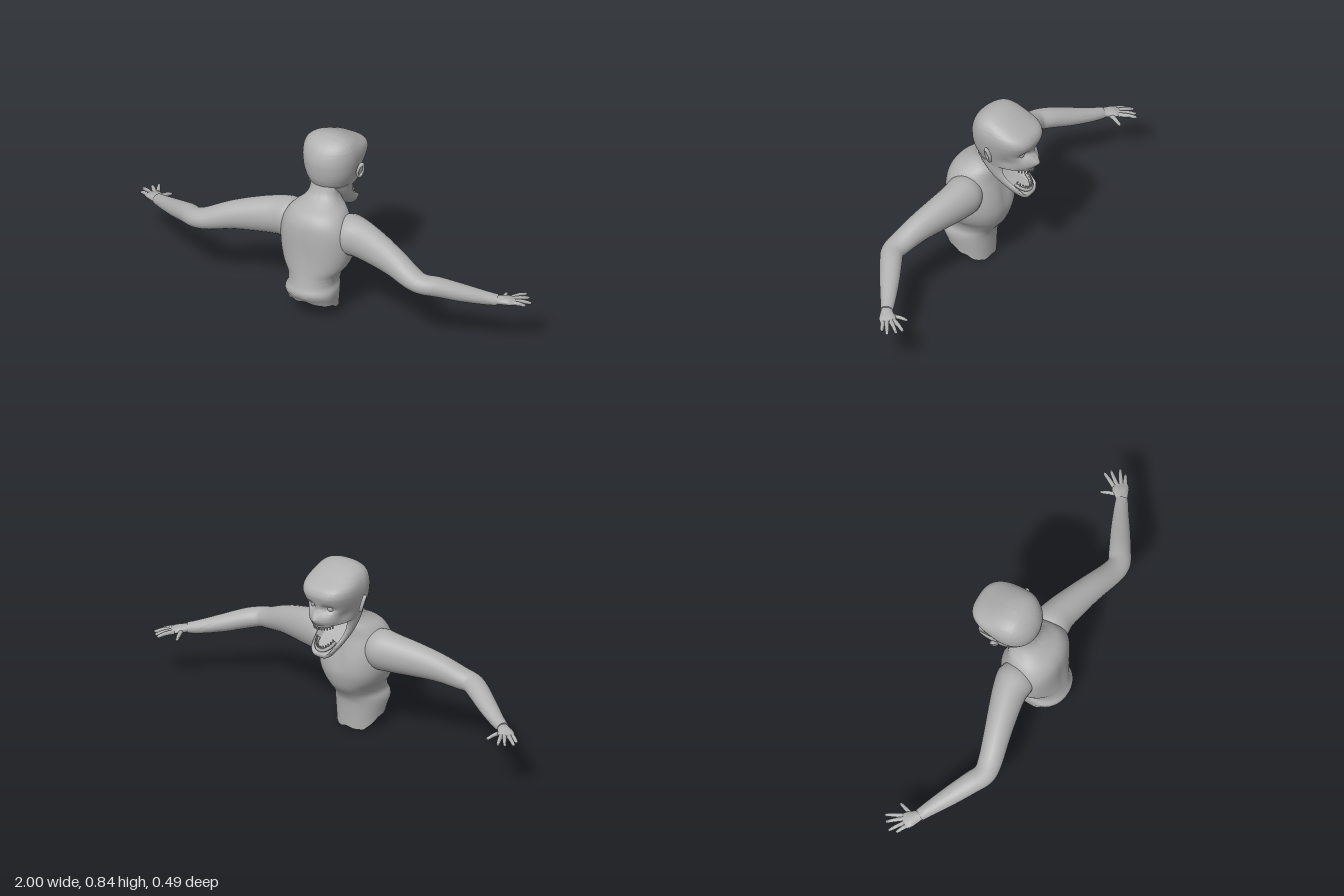
import * as THREE from 'three';
import { toCreasedNormals } from 'three/addons/utils/BufferGeometryUtils.js';

const skin = new THREE.MeshStandardMaterial({ color: 0xb0b0b0 });
skin.name = 'grey skin';

// Catmull-Rom refinement of rows of numbers
function refine(rows, k) {
  const out = [];
  const at = (i) => rows[Math.min(rows.length - 1, Math.max(0, i))];
  for (let i = 0; i < rows.length - 1; i++) {
    for (let s = 0; s < k; s++) {
      const t = s / k;
      out.push(rows[i].map((b, c) => {
        const a = at(i - 1)[c], d = at(i + 1)[c], e = at(i + 2)[c];
        return b + 0.5 * t * (d - a + t * (2 * a - 5 * b + 4 * d - e + t * (3 * (b - d) + e - a)));
      }));
    }
  }
  out.push(rows[rows.length - 1]);
  return out;
}

// Skin a list of rings (arrays of Vector3) and close both ends
function loft(rings, name, crease = 1.0) {
  const n = rings[0].length, pos = [], idx = [];
  for (const r of rings) for (const p of r) pos.push(p.x, p.y, p.z);
  for (let i = 0; i < rings.length - 1; i++) {
    for (let j = 0; j < n; j++) {
      const a = i * n + j, b = i * n + (j + 1) % n;
      idx.push(a, b, a + n, b, b + n, a + n);
    }
  }
  [0, rings.length - 1].forEach((i, end) => {
    const c = rings[i].reduce((s, p) => s.add(p), new THREE.Vector3()).divideScalar(n);
    const m = pos.length / 3;
    pos.push(c.x, c.y, c.z);
    for (let j = 0; j < n; j++) {
      const a = i * n + j, b = i * n + (j + 1) % n;
      if (end) idx.push(m, a, b); else idx.push(m, b, a);
    }
  });
  const g = new THREE.BufferGeometry();
  g.setAttribute('position', new THREE.Float32BufferAttribute(pos, 3));
  g.setIndex(idx);
  const mesh = new THREE.Mesh(toCreasedNormals(g, crease), skin);
  mesh.name = name;
  return mesh;
}

// Limb through stations [x, y, z, horizontal radius, vertical radius]
function limb(stations, name, sides = 24, k = 4) {
  const rows = refine(stations, k);
  const pts = rows.map((r) => new THREE.Vector3(r[0], r[1], r[2]));
  const up = new THREE.Vector3(0, 1, 0);
  return loft(rows.map((r, i) => {
    const t = pts[Math.min(i + 1, pts.length - 1)].clone().sub(pts[Math.max(i - 1, 0)]).normalize();
    const u = up.clone().cross(t).normalize(), v = t.clone().cross(u);
    return Array.from({ length: sides }, (_, j) => {
      const a = (j / sides) * Math.PI * 2;
      return pts[i].clone().addScaledVector(u, r[3] * Math.cos(a)).addScaledVector(v, r[4] * Math.sin(a));
    });
  }), name);
}

// Horizontal ring: back z, front z, half width and front roundness
const spow = (v, e) => Math.sign(v) * Math.abs(v) ** e;
function ring(y, zb, zf, w, e, n, shape) {
  const zc = zb + (zf - zb) * 0.42;
  return Array.from({ length: n }, (_, j) => {
    const a = (j / n) * Math.PI * 2, c = Math.cos(a), s = Math.sin(a);
    const ex = c < 0 ? e : 0.95;
    const z = zc + spow(Math.abs(c), ex) * (c < 0 ? zf - zc : zb - zc);
    const p = new THREE.Vector3(Math.max(w, 0.002) * spow(s, ex), y, z);
    if (shape) shape(p, c < 0);
    return p;
  });
}
const bell = (v, r) => Math.exp(-((v / r) ** 2));

function makeTorso() {
  const rows = refine([
    [0.05, 0.22, 0.012, 0.108], [0.13, 0.245, 0.006, 0.118], [0.17, 0.235, -0.012, 0.108],
    [0.21, 0.226, -0.042, 0.118], [0.25, 0.22, -0.058, 0.145], [0.3, 0.215, -0.068, 0.163],
    [0.36, 0.212, -0.064, 0.17], [0.42, 0.209, -0.05, 0.166], [0.47, 0.2, -0.038, 0.15],
    [0.51, 0.175, -0.036, 0.125], [0.54, 0.13, -0.036, 0.09], [0.57, 0.09, -0.035, 0.07],
    [0.61, 0.07, -0.03, 0.064], [0.66, 0.055, -0.03, 0.06],
  ], 4);
  return loft(rows.map(([y, zb, zf, w], i) => ring(y, zb, zf, w, 0.85, 56, (p, front) => {
    // ragged slanted hem, fading out up to the hips
    if (i < 5) {
      const f = Math.max(0, Math.min(1, (p.z - 0.035) / 0.19)) ** 0.75;
      const hem = 0.004 + 0.09 * f + 0.004 * Math.sin(p.x * 70 + p.z * 90);
      p.y = hem + (0.13 - hem) * i / 4;
    }
    // breastbone and spine grooves
    if (front) p.z += 0.01 * bell(p.x, 0.025) * bell(y - 0.37, 0.07);
    else p.z -= 0.005 * bell(p.x, 0.018) * bell(y - 0.33, 0.12);
    p.y = Math.max(p.y, 0);
  })), 'torso');
}

function makeHead() {
  const head = new THREE.Group();
  head.name = 'head';
  // skull and upper face
  const skull = refine([
    [0.585, 0.045, -0.213, 0.092, 1], [0.61, 0.066, -0.226, 0.1, 1], [0.64, 0.08, -0.218, 0.11, 0.95],
    [0.67, 0.087, -0.21, 0.118, 0.85], [0.7, 0.09, -0.217, 0.124, 0.75], [0.73, 0.09, -0.222, 0.128, 0.7],
    [0.76, 0.083, -0.206, 0.127, 0.7], [0.79, 0.068, -0.155, 0.118, 0.8], [0.815, 0.045, -0.108, 0.099, 0.9],
    [0.833, 0.015, -0.067, 0.062, 1], [0.841, -0.015, -0.03, 0.008, 1],
  ], 5);
  head.add(loft(skull.map(([y, zb, zf, w, e]) => ring(y, zb, zf, w, e, 96, (p, front) => {
    if (!front) return;
    const ax = Math.abs(p.x), f = p.z < -0.1 ? 1 : 0;
    p.z -= f * 0.018 * bell(p.x, 0.017) * bell(y - 0.622, 0.022);
    p.z += f * 0.026 * bell(ax - 0.045, 0.024) * bell(y - 0.665, 0.019);
    p.x *= 1 - 0.1 * bell(y - 0.625, 0.03) * bell(p.z + 0.13, 0.04);
  })), 'skull'));

  // open jaw: the front of each ring is hollowed back to the last value
  const jaw = refine([
    [0.418, -0.16, -0.188, 0.022, -0.188], [0.428, -0.138, -0.2, 0.042, -0.2],
    [0.446, -0.112, -0.202, 0.055, -0.197], [0.46, -0.092, -0.196, 0.063, -0.15],
    [0.48, -0.066, -0.172, 0.071, -0.105], [0.5, -0.042, -0.142, 0.077, -0.075],
    [0.525, -0.014, -0.117, 0.083, -0.05], [0.555, 0.016, -0.106, 0.088, -0.03],
    [0.585, 0.044, -0.112, 0.092, -0.02], [0.605, 0.06, -0.13, 0.095, -0.03],
  ], 4);
  head.add(loft(jaw.map(([y, zb, zf, w, dent]) => ring(y, zb, zf, w, 0.55, 96, (p, front) => {
    if (!front) return;
    const inner = 1 - THREE.MathUtils.smoothstep(Math.abs(p.x) / w, 0.66, 0.84);
    if (p.z < dent) p.z += (dent - p.z) * inner;
  })), 'openJaw'));

  // rows of teeth on curved gums
  for (const upper of [true, false]) {
    const at = (t) => {
      const c = Math.cos(t), s = Math.sin(t);
      return upper ? new THREE.Vector3(0.05 * s, 0.585, -0.148 - 0.06 * c)
        : new THREE.Vector3(0.045 * s, 0.492 - 0.036 * c, -0.138 - 0.052 * c);
    };
    const path = Array.from({ length: 13 }, (_, i) => at((i / 6 - 1) * 1.5));
    const gum = new THREE.Mesh(new THREE.TubeGeometry(new THREE.CatmullRomCurve3(path), 32, 0.009, 8), skin);
    gum.name = upper ? 'upperGum' : 'lowerGum';
    head.add(gum);
    for (let i = 0; i < 12; i++) {
      const t = ((i + 0.5) / 6 - 1) * 1.45;
      const tooth = new THREE.Mesh(new THREE.CylinderGeometry(0.0035, 0.0055, 0.024, 7), skin);
      tooth.name = 'tooth';
      tooth.position.copy(at(t));
      tooth.position.y += upper ? -0.01 : 0.01;
      if (upper) tooth.rotation.z = Math.PI;
      else tooth.rotation.x = -0.35;
      head.add(tooth);
    }
  }

  // eyes and ears
  for (const s of [1, -1]) {
    const eye = new THREE.Mesh(new THREE.SphereGeometry(0.018, 20, 14), skin);
    eye.name = 'eye';
    eye.position.set(s * 0.045, 0.666, -0.169);
    const ear = new THREE.Group();
    ear.name = 'ear';
    const rim = new THREE.Mesh(new THREE.TorusGeometry(0.03, 0.009, 10, 28), skin);
    rim.name = 'earRim';
    rim.scale.set(0.5, 1.15, 1);
    const bowl = new THREE.Mesh(new THREE.SphereGeometry(0.03, 20, 12), skin);
    bowl.name = 'earBowl';
    bowl.scale.set(0.55, 1.15, 0.2);
    bowl.position.z = -0.006 * s;
    ear.add(rim, bowl);
    ear.rotation.set(0, Math.PI / 2 - s * 0.45, 0);
    bowl.position.z = s * -0.004;
    const tilt = new THREE.Group();
    tilt.name = 'earMount';
    tilt.add(ear);
    tilt.position.set(s * 0.136, 0.672, -0.057);
    tilt.rotation.set(0.1, 0, -s * 0.25);
    head.add(eye, tilt);
  }
  return head;
}

function makeArm(s) {
  const arm = new THREE.Group();
  arm.name = s > 0 ? 'leftSideArm' : 'rightSideArm';
  const side = (rows) => rows.map(([x, ...r]) => [s * x, ...r]);
  arm.add(limb(side([
    [0.1, 0.41, 0.06, 0.07, 0.075], [0.15, 0.41, 0.062, 0.088, 0.094], [0.22, 0.404, 0.07, 0.078, 0.09],
    [0.32, 0.39, 0.096, 0.068, 0.079], [0.42, 0.37, 0.125, 0.06, 0.065], [0.52, 0.338, 0.153, 0.055, 0.051],
    [0.58, 0.326, 0.158, 0.052, 0.045], [0.64, 0.314, 0.127, 0.05, 0.045], [0.73, 0.285, 0.075, 0.044, 0.04],
    [0.82, 0.26, 0.024, 0.034, 0.031], [0.87, 0.25, -0.002, 0.028, 0.025],
  ]), 'armAndForearm'));
  arm.add(limb(side([
    [0.85, 0.253, 0.01, 0.02, 0.018], [0.885, 0.248, -0.013, 0.03, 0.018],
    [0.91, 0.244, -0.033, 0.038, 0.015], [0.932, 0.238, -0.05, 0.034, 0.009],
  ]), 'palm', 18));
  // four fingers and the thumb: base, tip
  const digits = [
    [0.936, 0.24, -0.025, 0.985, 0.226, -0.052], [0.926, 0.241, -0.039, 0.995, 0.226, -0.086],
    [0.916, 0.241, -0.053, 0.967, 0.23, -0.117], [0.906, 0.241, -0.064, 0.942, 0.233, -0.137],
    [0.885, 0.242, -0.03, 0.858, 0.228, -0.106],
  ];
  digits.forEach(([x, y, z, X, Y, Z], i) => {
    const at = (t, r) => [x + (X - x) * t, y + (Y - y) * t + 0.004 * Math.sin(t * Math.PI), z + (Z - z) * t, r, r];
    arm.add(limb(side([at(0, 0.011), at(0.5, 0.0095), at(0.9, 0.0075), at(1, 0.004)]), i < 4 ? 'finger' : 'thumb', 10, 3));
  });
  return arm;
}

export function createModel() {
  const model = new THREE.Group();
  model.name = 'figure';
  model.add(makeTorso(), makeHead(), makeArm(1), makeArm(-1));
  return model;
}
